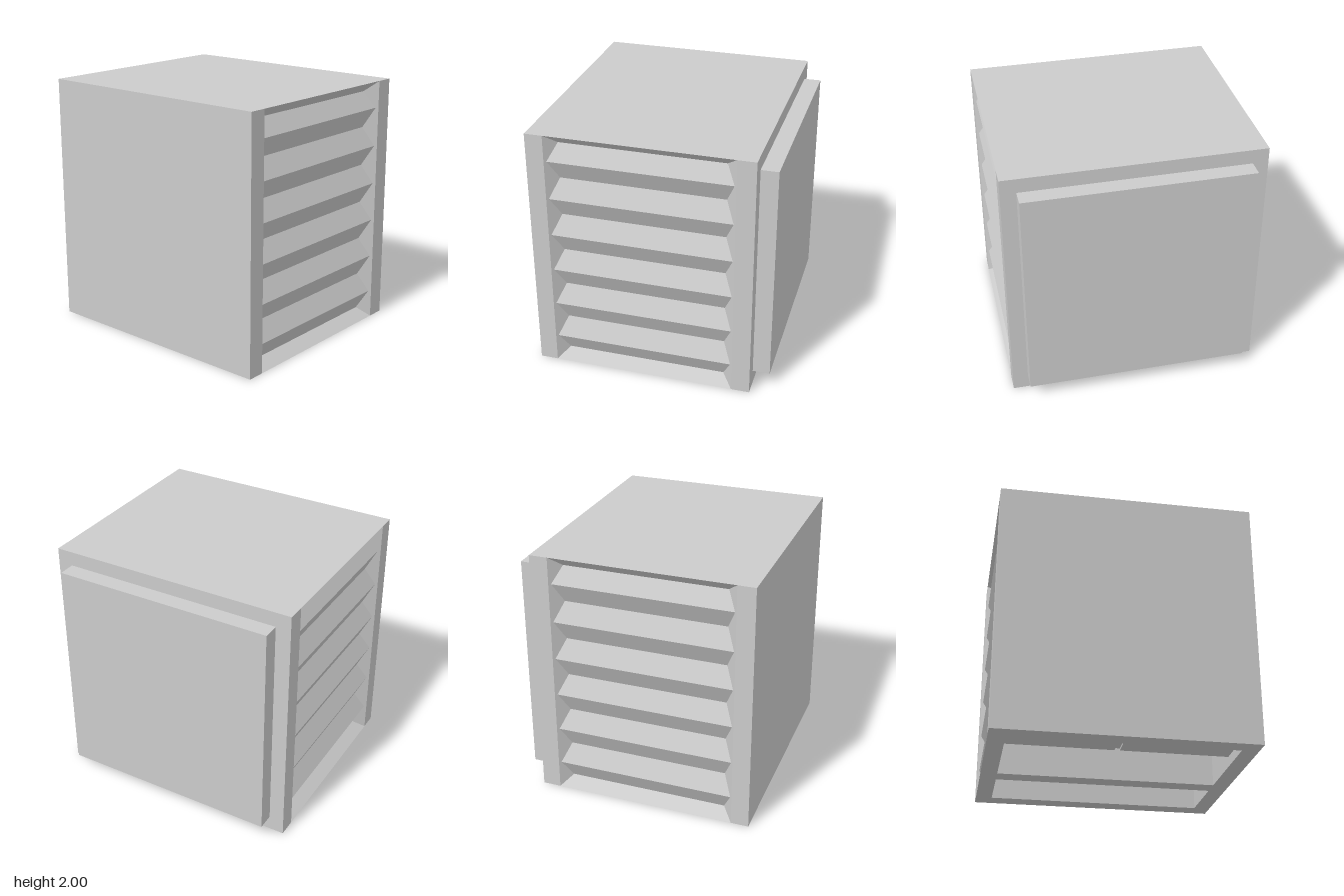
import * as THREE from 'three';

const FRONT = 0.935, BACK = -0.80;        // cabinet depth
const Z0 = -0.655, Z1 = 0.795;            // side openings between front and back slabs
const DEPTH = 0.09;                       // how far the louvers are recessed
const WALL = 0.87;                        // half width of the wells underneath

export function createModel() {
  const model = new THREE.Group();
  const grey = new THREE.MeshStandardMaterial({ color: 0xcccccc, flatShading: true });
  const thin = new THREE.MeshStandardMaterial({ color: 0xcccccc, flatShading: true, side: THREE.DoubleSide });

  const add = (name, geometry, material = grey, parent = model) => {
    const mesh = new THREE.Mesh(geometry, material);
    mesh.name = name;
    parent.add(mesh);
    return mesh;
  };
  // Box given by its limits on each axis
  const block = (name, x0, x1, y0, y1, z0, z1) => add(name,
    new THREE.BoxGeometry(x1 - x0, y1 - y0, z1 - z0)
      .translate((x0 + x1) / 2, (y0 + y1) / 2, (z0 + z1) / 2));
  const shapeOf = (pts) => new THREE.Shape(pts.map(([x, y]) => new THREE.Vector2(x, y)));
  const rect = (x0, x1, y0, y1) => [[x0, y0], [x1, y0], [x1, y1], [x0, y1]];

  // Cabinet slabs and raised back panel
  block('frontSlab', -1, 1, 0, 2, Z1, FRONT);
  block('backSlab', -1, 1, 0, 2, BACK, Z0);
  block('backPanel', -0.88, 0.88, 0.12, 1.885, -FRONT, BACK);

  // Top, tapered under its edges to clear the side openings
  add('top', new THREE.ExtrudeGeometry(
    shapeOf([[-0.88, 1.9], [0.88, 1.9], [1, 2], [-1, 2]]),
    { depth: Z1 - Z0, bevelEnabled: false }).translate(0, 0, Z0));

  // Underside rim with two wells (shape y becomes z)
  const rim = shapeOf(rect(-1, 1, Z0, Z1));
  for (const [a, b] of [[Z0 + 0.002, -0.17], [-0.03, Z1 - 0.002]]) {
    rim.holes.push(new THREE.Path(rect(-WALL, WALL, a, b).map(([x, y]) => new THREE.Vector2(x, y))));
  }
  add('bottomRim', new THREE.ShapeGeometry(rim).rotateX(Math.PI / 2), thin);

  // Well walls, divider and the shallow shelf with its two panels
  for (const s of [-1, 1]) {
    const x = s * (WALL + 0.015);
    block('wellWall', x - 0.015, x + 0.015, 0.002, 1.9, Z0, Z1);
    const c = s * 0.445;
    block('shelfPanel', c - 0.425, c + 0.425, 0.08, 0.1, 0.43, Z1);
  }
  block('wellDivider', -WALL, WALL, 0.002, 1.9, -0.17, -0.03);
  block('shelf', -WALL, WALL, 0.095, 1.9, 0.435, Z1);

  // Louver profile: [recess, height], zigzagging between valleys and ridges
  const profile = [[0, 0], [DEPTH, 0.08]];
  for (let i = 0; i < 6; i++) {
    const y = 0.225 + i * 0.312;
    profile.push([0.016, y]);
    profile.push([DEPTH, i < 5 ? y + 0.156 : 1.92]);
  }
  profile.push([0, 2]);

  // Jambs lean inward, so the slats narrow as they recede
  const zFront = (d) => Z1 - d * 0.94, zBack = (d) => Z0 + d * 0.94;
  const pos = [];
  for (let i = 0; i < profile.length - 1; i++) {
    const [d, y] = profile[i], [e, v] = profile[i + 1];
    const a = [1 - d, y, zFront(d)], b = [1 - d, y, zBack(d)];
    const c = [1 - e, v, zBack(e)], f = [1 - e, v, zFront(e)];
    pos.push(...a, ...b, ...c, ...a, ...c, ...f);
  }
  const slats = new THREE.BufferGeometry();
  slats.setAttribute('position', new THREE.Float32BufferAttribute(pos, 3));
  slats.computeVertexNormals();

  const jamb = (zOf) => {
    const g = new THREE.ShapeGeometry(shapeOf(profile)).toNonIndexed();
    const p = g.attributes.position;
    for (let i = 0; i < p.count; i++) {
      const d = p.getX(i);
      p.setXYZ(i, 1 - d, p.getY(i), zOf(d));
    }
    g.computeVertexNormals();
    return g;
  };
  const jambs = [jamb(zFront), jamb(zBack)];

  // Same louver bank on both sides
  for (const s of [1, -1]) {
    const bank = new THREE.Group();
    bank.name = s > 0 ? 'leftLouvers' : 'rightLouvers';
    add('slats', slats, thin, bank);
    add('frontJamb', jambs[0], thin, bank);
    add('backJamb', jambs[1], thin, bank);
    bank.scale.x = s;
    model.add(bank);
  }
  return model;
}
